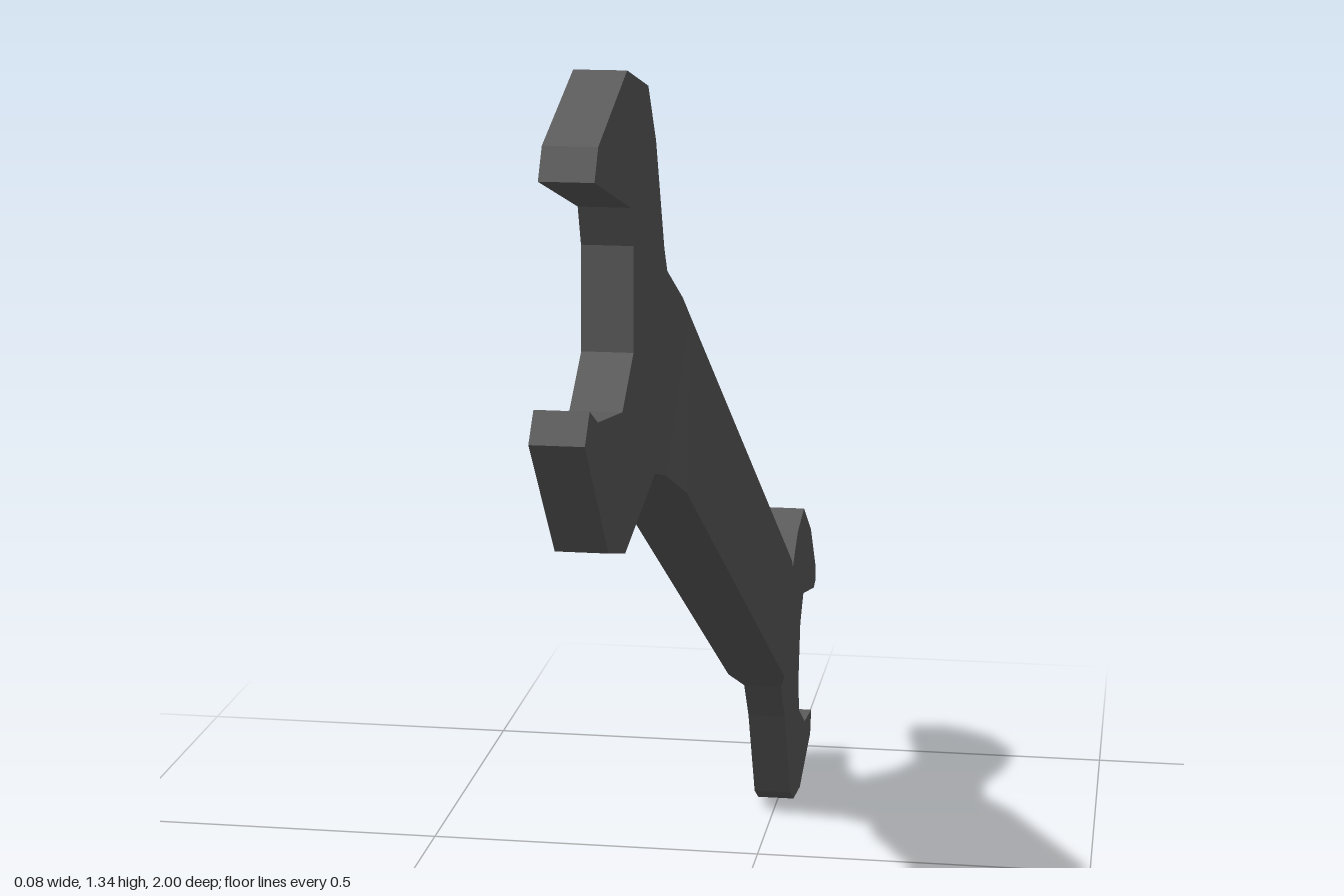
import * as THREE from 'three';

const HEAD = 0.028; // half thickness of the heads
const BAR = 0.042; // half thickness of the handle

// Handle corners as [z, y]
const bar = [[0.43, 1.021], [0.45, 0.814], [-0.48, 0.29], [-0.56, 0.447]];
const [largeTop, largeBottom, smallBottom, smallTop] = bar;

// Side outlines of the two open heads, starting and ending at the handle
const largeHead = [
  largeTop, [0.476, 1.048], [0.519, 1.112], [0.572, 1.24], [0.62, 1.305], [0.749, 1.337],
  [0.914, 1.283], [0.936, 1.251], [0.733, 1.193], [0.717, 1.15], [0.722, 1.037], [0.791, 0.989],
  [0.93, 1.011], [0.973, 1.032], [1, 1.003], [0.877, 0.861], [0.781, 0.834], [0.588, 0.872],
  [0.513, 0.85], largeBottom,
];
const smallHead = [
  smallBottom, [-0.55, 0.251], [-0.599, 0.187], [-0.674, 0.037], [-0.717, 0.011], [-0.802, 0],
  [-0.941, 0.043], [-0.952, 0.08], [-0.861, 0.091], [-0.786, 0.134], [-0.77, 0.182], [-0.791, 0.278],
  [-0.829, 0.316], [-0.973, 0.283], [-1, 0.289], [-1, 0.31], [-0.925, 0.396], [-0.829, 0.455],
  [-0.749, 0.439], [-0.69, 0.401], [-0.631, 0.406], smallTop,
];

// Tapers from the handle (thick corners) down to the head faces (thin corners)
const longTaper = {
  thick: [largeBottom, largeTop, [0.476, 1.048]],
  thin: [[0.733, 1.193], [0.717, 1.15], [0.722, 1.037], [0.588, 0.872], [0.513, 0.85]],
};
const shortTaper = {
  thick: [largeBottom, largeTop],
  thin: [[0.476, 1.048], [0.588, 0.872], [0.513, 0.85]],
};
const smallTaper = {
  thick: [smallTop, smallBottom],
  thin: [[-0.55, 0.251], [-0.599, 0.187], [-0.674, 0.037], [-0.786, 0.134], [-0.77, 0.182], [-0.791, 0.278]],
};

const extrude = (points, depth) => new THREE.ExtrudeGeometry(
  new THREE.Shape(points.map(([z, y]) => new THREE.Vector2(z, y))), { depth, bevelEnabled: false });

// Flat plate of even thickness, centred on x = 0
function plate(points, half) {
  return extrude(points, half * 2).translate(0, 0, -half).rotateY(-Math.PI / 2);
}

// Wedge on one side (+1 or -1) whose outer face slopes from thick to thin corners
function wedge({ thick, thin }, side) {
  const geometry = extrude([...thick, ...thin], 1);
  const position = geometry.attributes.position;
  for (let i = 0; i < position.count; i++) {
    const isThick = thick.some(([z, y]) => Math.hypot(z - position.getX(i), y - position.getY(i)) < 1e-4);
    const height = isThick ? BAR : HEAD;
    const t = position.getZ(i);
    position.setZ(i, side > 0 ? height * (t - 1) : height * t);
  }
  return geometry.rotateY(-Math.PI / 2);
}

export function createModel() {
  const group = new THREE.Group();
  const material = new THREE.MeshStandardMaterial({ color: 0x5e5e5e, flatShading: true });
  const add = (name, geometry) => {
    const mesh = new THREE.Mesh(geometry, material);
    mesh.name = name;
    group.add(mesh);
  };

  add('handle', plate(bar, BAR));
  add('largeJaw', plate(largeHead, HEAD));
  add('smallJaw', plate(smallHead, HEAD));

  add('largeTaperLeft', wedge(longTaper, 1));
  add('largeTaperRight', wedge(shortTaper, -1));
  add('smallTaperLeft', wedge(smallTaper, 1));
  add('smallTaperRight', wedge(smallTaper, -1));

  return group;
}
